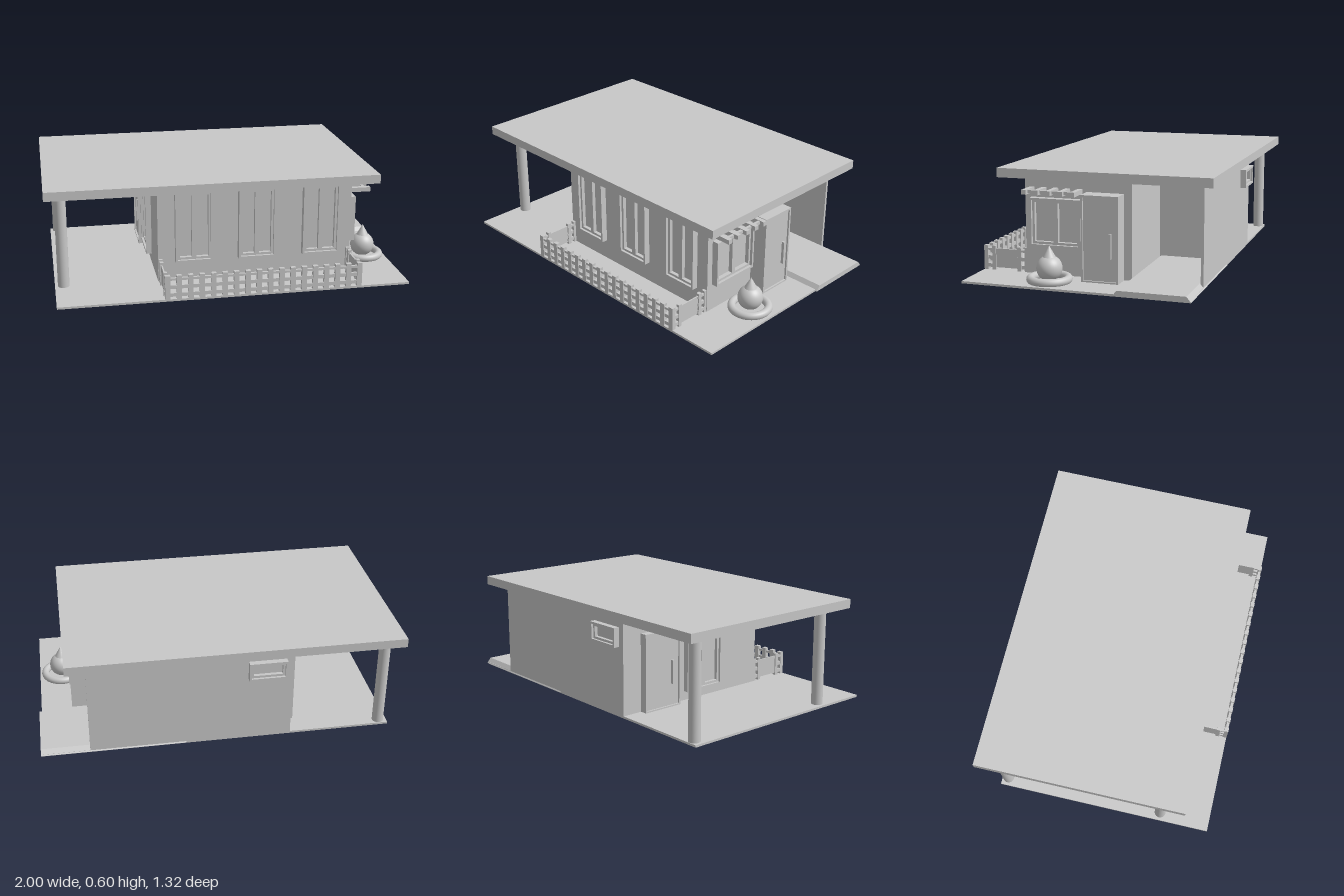
import * as THREE from 'three';

export function createModel() {
  const model = new THREE.Group();
  const plaster = new THREE.MeshStandardMaterial({ color: 0xc8c8c8 });
  plaster.name = 'plain grey';

  function add(geometry, name, parent = model) {
    const mesh = new THREE.Mesh(geometry, plaster);
    mesh.name = name;
    parent.add(mesh);
    return mesh;
  }

  // Box given by its limits on each axis
  function box(name, x0, x1, y0, y1, z0, z1, parent) {
    const g = new THREE.BoxGeometry(x1 - x0, y1 - y0, z1 - z0);
    g.translate((x0 + x1) / 2, (y0 + y1) / 2, (z0 + z1) / 2);
    return add(g, name, parent);
  }

  function rect(target, x0, x1, y0, y1) {
    target.moveTo(x0, y0);
    target.lineTo(x1, y0);
    target.lineTo(x1, y1);
    target.lineTo(x0, y1);
    target.closePath();
    return target;
  }

  // Flat frame with rectangular openings [x0, x1, y0, y1], extruded towards +z
  function frame(name, outer, openings, depth, parent) {
    const shape = rect(new THREE.Shape(), ...outer);
    openings.forEach(o => shape.holes.push(rect(new THREE.Path(), ...o)));
    return add(new THREE.ExtrudeGeometry(shape, { depth, bevelEnabled: false }), name, parent);
  }

  function place(name, x, y, z, turn) {
    const group = new THREE.Group();
    group.name = name;
    group.position.set(x, y, z);
    group.rotation.y = turn;
    model.add(group);
    return group;
  }

  // Window: deep outer frame and thinner sashes, standing on its local origin
  function addWindow(name, x, y, z, turn, w, h, depth, panes = 2) {
    const g = place(name, x, y, z, turn);
    const t = 0.012, s = 0.013;
    frame('windowFrame', [-w / 2, w / 2, 0, h], [[-w / 2 + t, w / 2 - t, t, h - t]], depth, g);
    const paneW = (w - 2 * t) / panes;
    for (let i = 0; i < panes; i++) {
      const a = -w / 2 + t + i * paneW, b = a + paneW;
      frame('sash', [a, b, t, h - t], [[a + s, b - s, t + s, h - t - s]], depth * 0.6, g);
    }
    return g;
  }

  // Door: projecting porch box, raised frame and upright handle
  function addDoor(name, x, y, z, turn, w, h, depth) {
    const g = place(name, x, y, z, turn);
    box('doorLeaf', -w / 2, w / 2, 0, h, 0, depth - 0.01, g);
    frame('doorFrame', [-w / 2, w / 2, 0, h], [[-w / 2 + 0.011, w / 2 - 0.011, 0.008, h - 0.011]], depth, g);
    box('doorHandle', w * 0.25, w * 0.25 + 0.012, 0.13, 0.265, depth - 0.01, depth + 0.006, g);
  }

  // Ground slab and roof
  box('groundSlab', -0.96, 0.985, 0, 0.012, -0.59, 0.655);
  box('roof', -1, 0.84, 0.55, 0.6, -0.662, 0.507);

  // House body with an open bay at the rear right
  box('frontRooms', -0.39, 0.712, 0.01, 0.55, -0.2, 0.4);
  box('rearRooms', -0.39, 0.2, 0.01, 0.55, -0.59, -0.2);
  box('bayBackWall', 0.2, 0.73, 0.01, 0.55, -0.59, -0.575);

  // Driveway pad with sloping long edges
  const pad = new THREE.BoxGeometry(0.8, 0.03, 0.41);
  const p = pad.attributes.position;
  for (let i = 0; i < p.count; i++) {
    if (p.getY(i) > 0) p.setZ(i, p.getZ(i) * 0.88);
  }
  pad.computeVertexNormals();
  add(pad, 'driveway').position.set(0.598, 0.02, -0.39);

  // Carport posts
  for (const z of [-0.555, 0.365]) {
    add(new THREE.CylinderGeometry(0.032, 0.032, 0.545, 32), 'roofPost').position.set(-0.912, 0.28, z);
  }

  // Windows on the four sides
  for (const x of [-0.19, 0.165, 0.532]) {
    addWindow('frontWindow', x, 0.13, 0.4, 0, 0.21, 0.407, 0.035);
  }
  addWindow('rightWindow', 0.712, 0.17, 0.22, Math.PI / 2, 0.29, 0.263, 0.038);
  addWindow('leftWindow', -0.39, 0.065, -0.03, -Math.PI / 2, 0.26, 0.475, 0.032);
  addWindow('backWindow', -0.25, 0.39, -0.59, Math.PI, 0.21, 0.107, 0.033, 1);

  // Doors
  addDoor('rightDoor', 0.712, 0.012, -0.052, Math.PI / 2, 0.206, 0.462, 0.097);
  addDoor('leftDoor', -0.39, 0.012, -0.345, -Math.PI / 2, 0.25, 0.438, 0.042);

  // Pergola over the right window
  box('pergolaRail', 0.79, 0.805, 0.468, 0.484, 0.075, 0.372);
  for (let i = 0; i < 5; i++) {
    const z = 0.36 - i * 0.068;
    box('pergolaBeam', 0.7, 0.83, 0.463, 0.488, z - 0.013, z + 0.013);
  }

  // Terrace fence: pierced lattice in front, solid panels at the sides
  const bands = [[0.025, 0.045], [0.07, 0.09], [0.118, 0.131]];
  const fence = place('terraceFence', 0, 0, 0, 0);
  for (const [y0, y1] of bands) box('fenceBand', -0.385, 0.708, y0, y1, 0.638, 0.652, fence);
  const bars = 17, step = (0.708 + 0.385 - 0.028) / bars;
  for (let i = 0; i <= bars; i++) {
    const x = -0.385 + i * step;
    box('fenceBar', x, x + 0.028, 0.01, 0.146, 0.633, 0.656, fence);
  }
  for (const x of [-0.377, 0.698]) {
    box('sidePanel', x - 0.004, x + 0.004, 0.025, 0.131, 0.46, 0.587, fence);
    for (const z of [0.587, 0.437, 0.395]) {
      box('sideBar', x - 0.01, x + 0.01, 0.01, 0.146, z, z + 0.021, fence);
    }
    for (const [y0, y1] of bands) {
      box('sideBand', x - 0.007, x + 0.007, y0, y1, 0.587, 0.645, fence);
      box('sideBand', x - 0.007, x + 0.007, y0, y1, 0.395, 0.462, fence);
    }
  }

  // Garden ornament: ring, ball and pointed cap
  const ornament = place('gardenOrnament', 0.852, 0, 0.21, 0);
  const ring = add(new THREE.TorusGeometry(0.1, 0.022, 16, 48), 'ornamentRing', ornament);
  ring.rotation.x = -Math.PI / 2;
  ring.position.y = 0.028;
  add(new THREE.SphereGeometry(0.069, 32, 24), 'ornamentBall', ornament).position.y = 0.085;
  add(new THREE.ConeGeometry(0.036, 0.065, 32), 'ornamentCap', ornament).position.y = 0.174;

  return model;
}
